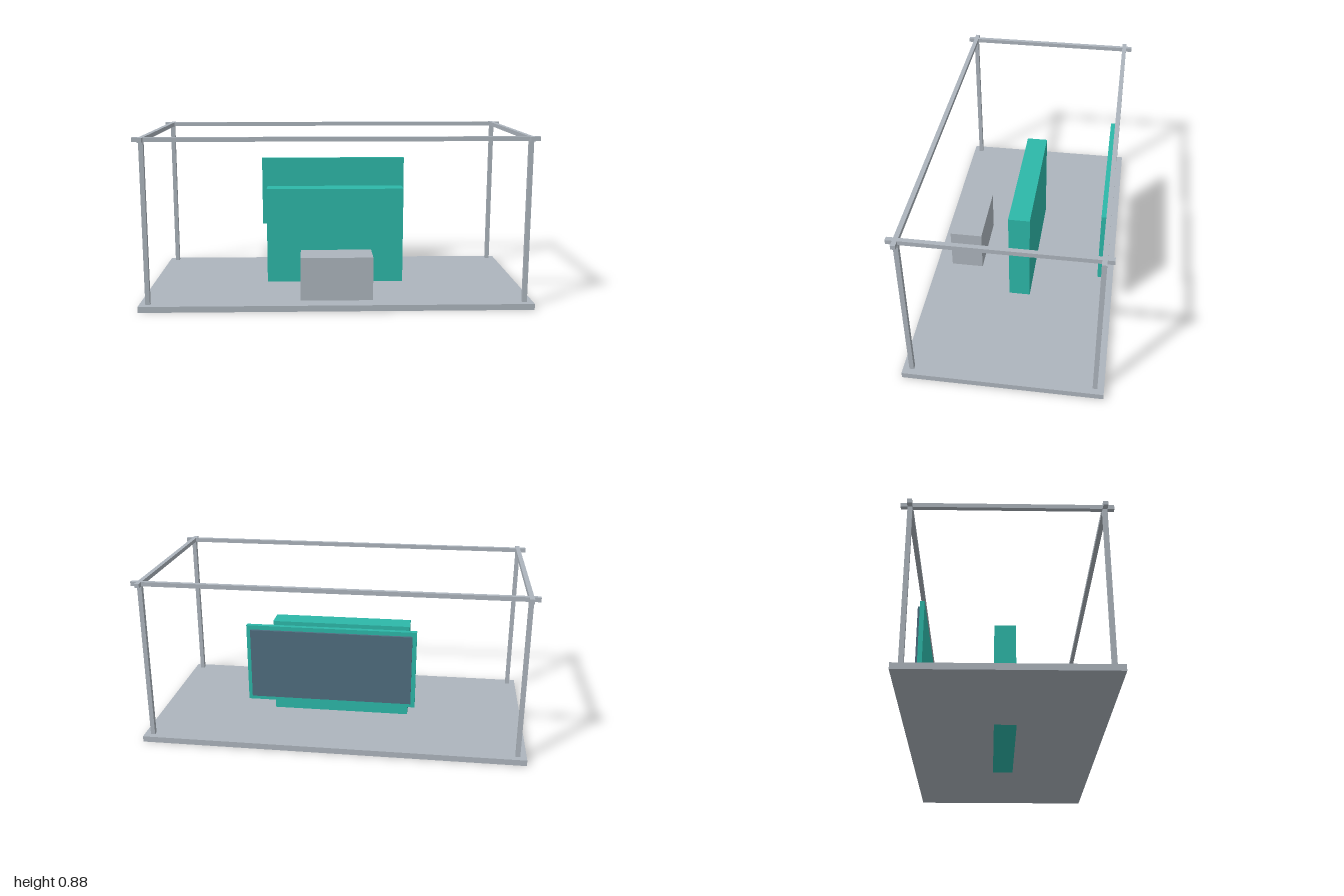
import * as THREE from 'three';

export function createModel() {
  const model = new THREE.Group();
  const material = (name, color) => {
    const m = new THREE.MeshStandardMaterial({ color });
    m.name = name;
    return m;
  };
  const grey = material('light grey', 0xadb5bd);
  const teal = material('teal', 0x2db8a9);
  const slate = material('slate blue', 0x4f6d7f);

  // Box given by its lower and upper corners
  function box(name, mat, [x0, y0, z0], [x1, y1, z1]) {
    const mesh = new THREE.Mesh(new THREE.BoxGeometry(x1 - x0, y1 - y0, z1 - z0), mat);
    mesh.position.set((x0 + x1) / 2, (y0 + y1) / 2, (z0 + z1) / 2);
    mesh.name = name;
    model.add(mesh);
  }
  const rectangle = (Type, w, d) => new Type([
    new THREE.Vector2(-w, -d), new THREE.Vector2(w, -d),
    new THREE.Vector2(w, d), new THREE.Vector2(-w, d),
  ]);

  // Floor slab, with a slot that the back wall passes through
  const floorTop = 0.031, wallX = 0.374, wallZ = 0.056;
  const slab = rectangle(THREE.Shape, 1, 0.5);
  slab.holes.push(rectangle(THREE.Path, wallX, wallZ));
  const floorGeometry = new THREE.ExtrudeGeometry(slab, { depth: floorTop, bevelEnabled: false });
  floorGeometry.rotateX(-Math.PI / 2);
  const floor = new THREE.Mesh(floorGeometry, grey);
  floor.name = 'floor';
  model.add(floor);

  // Wall, counter and hanging screen
  box('partitionWall', teal, [-wallX, 0, -wallZ], [wallX, 0.552, wallZ]);
  box('counter', grey, [-0.186, floorTop, 0.24], [0.186, 0.256, 0.414]);
  box('screenFrame', teal, [-0.426, 0.262, -0.442], [0.426, 0.664, -0.418]);
  box('screenPanel', slate, [-0.405, 0.284, -0.454], [0.405, 0.643, -0.442]);

  // Open frame: four corner posts and four overlapping top rails
  const px = 0.956, pz = 0.456, r = 0.0115, railLow = 0.854, railHigh = 0.876;
  for (const s of [-1, 1]) {
    for (const t of [-1, 1]) {
      box('cornerPost', grey, [s * px - r, floorTop, t * pz - r], [s * px + r, railLow, t * pz + r]);
    }
    box('longRail', grey, [-1, railLow, s * pz - r], [1, railHigh, s * pz + r]);
    box('shortRail', grey, [s * px - r, railLow, -0.5], [s * px + r, railHigh, 0.5]);
  }
  return model;
}
